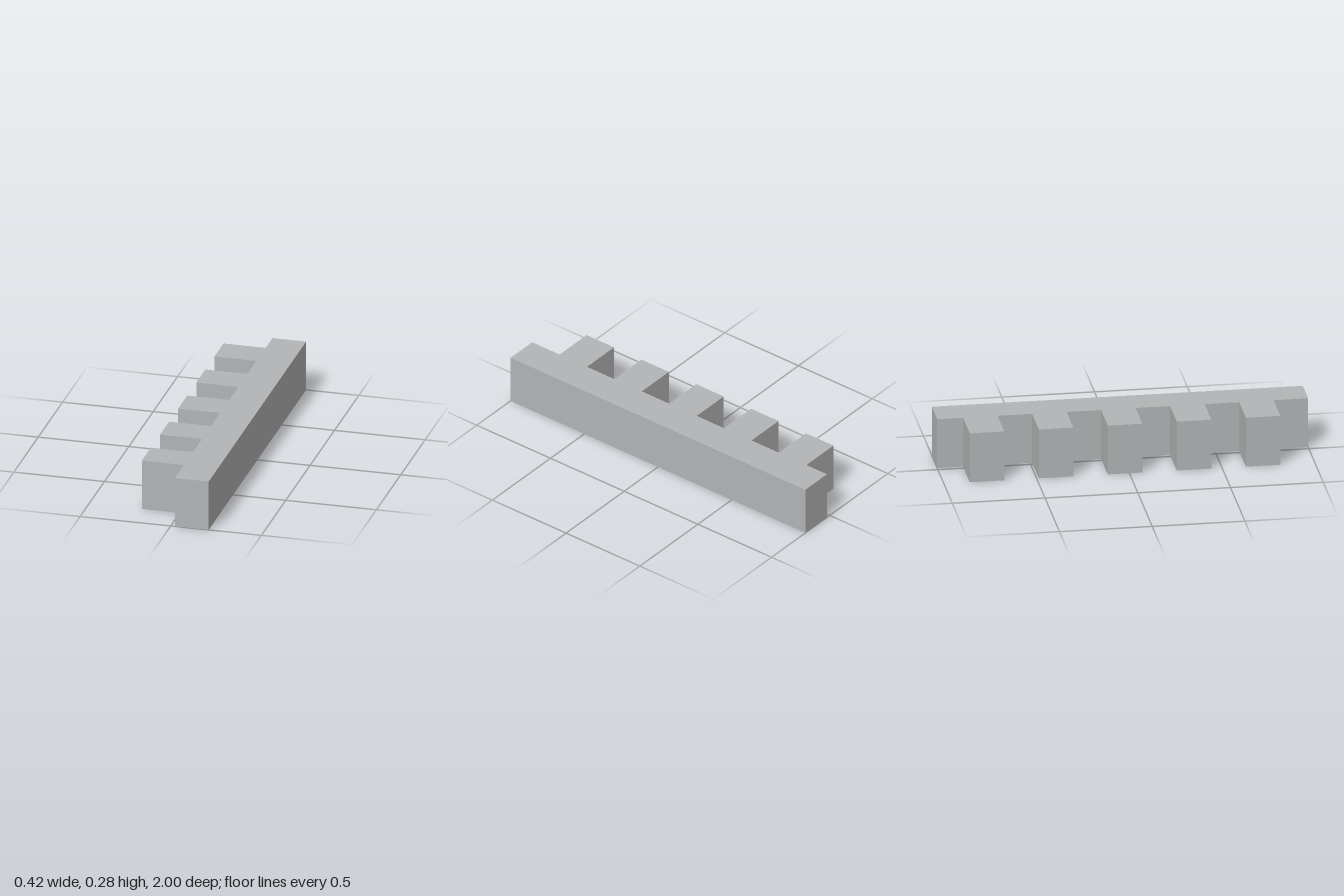
import * as THREE from 'three';

// Everything sits on a modular grid: 43 units long, 9 wide, 6 high.
const U = 2 / 43;
const LENGTH = 43, WIDTH = 9, HEIGHT = 6;
const SPINE = 4, TOOTH = 4, PITCH = 8, FIRST = 3, TEETH = 5;

export function createModel() {
  const grey = new THREE.MeshStandardMaterial({ color: 0xb3b4b5 });
  grey.name = 'grey';

  // Comb outline seen from above, x across and z along (shape y is -z).
  const point = (x, z) => new THREE.Vector2((x - WIDTH / 2) * U, (LENGTH / 2 - z) * U);
  const inner = WIDTH - SPINE;
  const outline = [point(WIDTH, LENGTH), point(WIDTH, 0), point(inner, 0)];
  for (let i = 0; i < TEETH; i++) {
    const z = FIRST + i * PITCH;
    outline.push(point(inner, z), point(0, z), point(0, z + TOOTH), point(inner, z + TOOTH));
  }
  outline.push(point(inner, LENGTH));

  // Spine and teeth in one solid, raised to full height.
  const geometry = new THREE.ExtrudeGeometry(new THREE.Shape(outline), {
    depth: HEIGHT * U,
    bevelEnabled: false,
  });
  geometry.rotateX(-Math.PI / 2);

  const rack = new THREE.Mesh(geometry, grey);
  rack.name = 'toothedRack';

  const model = new THREE.Group();
  model.name = 'rack';
  model.add(rack);
  return model;
}
